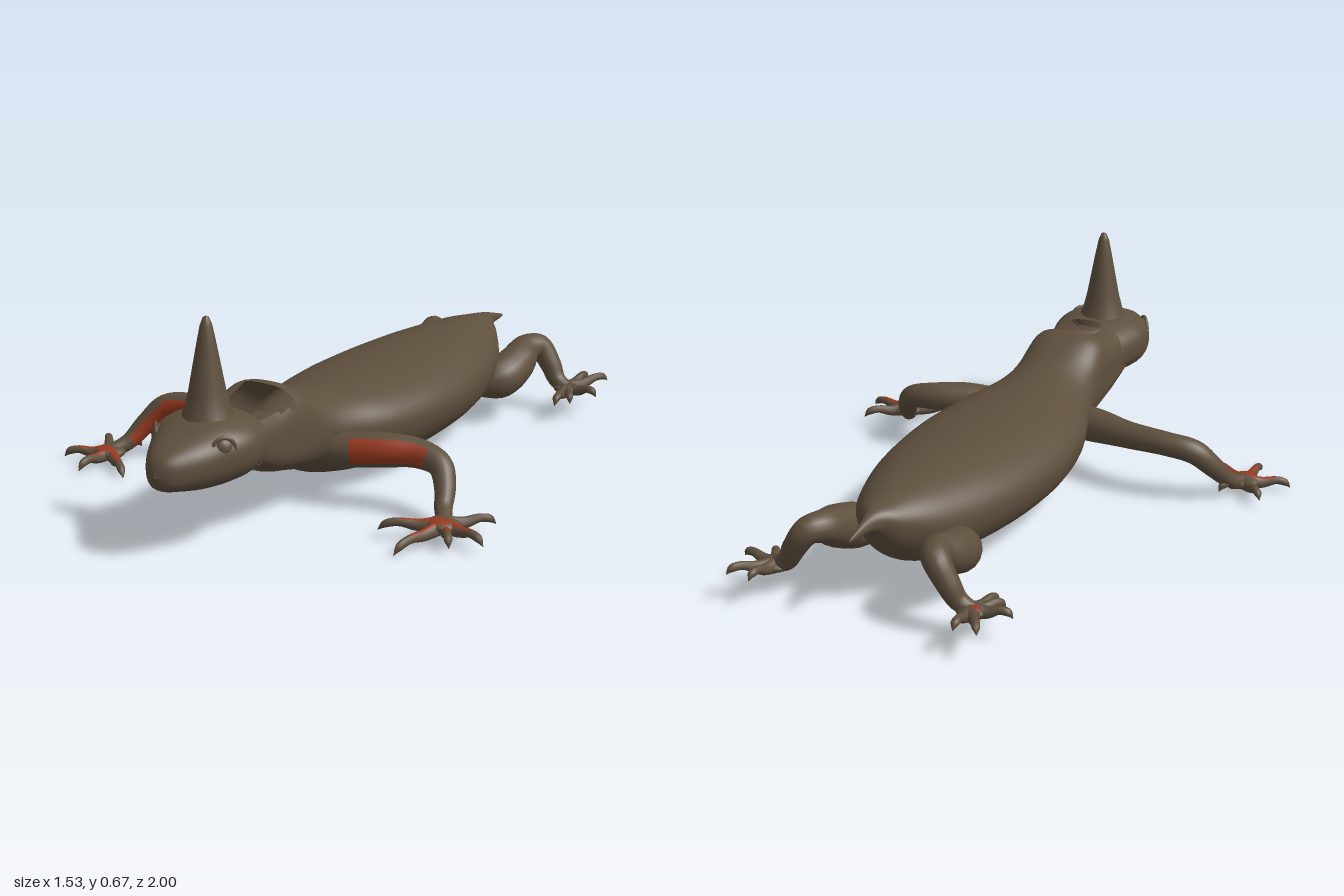
import * as THREE from 'three';

export function createModel() {
  const group = new THREE.Group();
  const skin = new THREE.MeshStandardMaterial({ color: 0x5e4f3d, side: THREE.DoubleSide });
  skin.name = 'brown skin';
  const red = new THREE.MeshStandardMaterial({ color: 0x97391f, side: THREE.DoubleSide });
  red.name = 'red patches';

  const add = (name, geo, mat, parent = group) => {
    const m = new THREE.Mesh(geo, mat);
    m.name = name;
    parent.add(m);
    return m;
  };

  // Closed-ring skin; pick(i, j) returns 0 skin, 1 red, -1 for an opening
  function surface(rings, pick = () => 0) {
    const n = rings[0].length, faces = [[], []];
    for (let i = 0; i < rings.length - 1; i++) {
      for (let j = 0; j < n; j++) {
        const k = pick(i, j);
        if (k < 0) continue;
        const a = i * n + j, b = i * n + (j + 1) % n, c = b + n, d = a + n;
        faces[k].push(a, b, c, a, c, d);
      }
    }
    const g = new THREE.BufferGeometry();
    g.setAttribute('position', new THREE.Float32BufferAttribute(rings.flat().flatMap(p => p.toArray()), 3));
    g.setIndex([...faces[0], ...faces[1]]);
    g.addGroup(0, faces[0].length, 0);
    g.addGroup(faces[0].length, faces[1].length, 1);
    g.computeVertexNormals();
    return g;
  }

  // Loft along z from sections [z, half width, top y, bottom y, widest y];
  // power(z) below 1 makes a section squarer
  function loftRings(sections, cx, steps, sides, power) {
    const curve = f => new THREE.CatmullRomCurve3(sections.map(f), false, 'catmullrom', 0.5);
    const ca = curve(s => new THREE.Vector3(s[0], s[1], s[4]));
    const cb = curve(s => new THREE.Vector3(s[0], s[2], s[3]));
    const bend = (v, p) => Math.sign(v) * Math.pow(Math.abs(v), p);
    const rings = [];
    for (let i = 0; i <= steps; i++) {
      const a = ca.getPoint(i / steps), b = cb.getPoint(i / steps), p = power(a.x), ring = [];
      for (let j = 0; j < sides; j++) {
        const t = j / sides * Math.PI * 2, c = bend(Math.cos(t), p), s = bend(Math.sin(t), p);
        ring.push(new THREE.Vector3(cx + c * a.y, a.z + s * (s > 0 ? b.y - a.z : a.z - b.z), a.x));
      }
      rings.push(ring);
    }
    return rings;
  }

  // Tapered tube through [x, y, z, radius]; isRed(direction, t) paints a patch
  function limb(pts, steps = 28, sides = 14, isRed = () => false) {
    const curve = new THREE.CatmullRomCurve3(pts.map(p => new THREE.Vector3(p[0], p[1], p[2])));
    const radii = new THREE.CatmullRomCurve3(pts.map((p, i) => new THREE.Vector3(i, p[3], 0)), false, 'catmullrom', 0.4);
    const rings = [], dirs = [];
    let normal = null;
    for (let i = 0; i <= steps; i++) {
      const t = i / steps, c = curve.getPoint(t), r = Math.max(radii.getPoint(t).y, 0.001), T = curve.getTangent(t);
      if (!normal) normal = Math.abs(T.y) > 0.9 ? new THREE.Vector3(1, 0, 0) : new THREE.Vector3(0, 1, 0);
      normal = normal.clone().addScaledVector(T, -normal.dot(T)).normalize();
      const B = new THREE.Vector3().crossVectors(T, normal), ring = [], dr = [];
      for (let j = 0; j < sides; j++) {
        const a = j / sides * Math.PI * 2;
        const d = normal.clone().multiplyScalar(Math.cos(a)).addScaledVector(B, Math.sin(a));
        dr.push(d);
        ring.push(c.clone().addScaledVector(d, r));
      }
      rings.push(ring);
      dirs.push(dr);
    }
    return surface(rings, (i, j) => isRed(dirs[i][j].clone().add(dirs[i][(j + 1) % sides]).normalize(), i / steps) ? 1 : 0);
  }

  // Body with the tail point, shoulders and a neck open on top
  const bodyRings = loftRings([
    [-0.96, 0.003, 0.285, 0.275, 0.28], [-0.85, 0.026, 0.315, 0.255, 0.285], [-0.78, 0.082, 0.325, 0.165, 0.26],
    [-0.65, 0.16, 0.338, 0.08, 0.22], [-0.42, 0.23, 0.34, 0.045, 0.21], [-0.15, 0.258, 0.333, 0.03, 0.21],
    [0.08, 0.235, 0.33, 0.034, 0.21], [0.25, 0.18, 0.335, 0.062, 0.22], [0.36, 0.15, 0.365, 0.105, 0.24],
    [0.47, 0.14, 0.408, 0.14, 0.26], [0.57, 0.138, 0.382, 0.165, 0.27], [0.67, 0.138, 0.378, 0.21, 0.28],
  ], 0.04, 72, 48, z => 1 - 0.35 * THREE.MathUtils.smoothstep(z, 0.3, 0.5));
  add('body', surface(bodyRings, (i, j) => {
    const p = bodyRings[i][j], q = bodyRings[i][(j + 1) % 48];
    const top = p.z > 0.48 && Math.min(p.y, q.y) > 0.352 && p.x > -0.01;
    const floor = p.z > 0.595 && p.y < 0.25 && p.x > 0.03 && p.x < 0.11;
    return top || floor ? -1 : 0;
  }), [skin, red]);

  // Head, open at the back
  const headRings = loftRings([
    [0.6, 0.132, 0.376, 0.205, 0.29], [0.67, 0.15, 0.385, 0.2, 0.3], [0.74, 0.163, 0.39, 0.196, 0.3],
    [0.81, 0.15, 0.385, 0.193, 0.3], [0.87, 0.118, 0.362, 0.196, 0.285], [0.93, 0.083, 0.34, 0.207, 0.275],
    [0.98, 0.043, 0.312, 0.222, 0.268], [1.0, 0.002, 0.268, 0.262, 0.265],
  ], 0.037, 40, 40, () => 0.84);
  add('head', surface(headRings, (i, j) => {
    const p = headRings[i][j];
    const back = p.z < 0.66 && p.x > -0.01;
    const throat = p.z < 0.66 && p.y < 0.26;
    return back || throat ? -1 : 0;
  }), [skin, red]);

  // Horn on the crown
  const horn = add('horn', new THREE.LatheGeometry([
    [0.085, -0.02], [0.068, 0.02], [0.055, 0.07], [0.042, 0.14], [0.029, 0.21], [0.018, 0.265], [0.009, 0.288], [0, 0.293],
  ].map(p => new THREE.Vector2(...p)), 24), skin);
  horn.position.set(0.037, 0.38, 0.75);

  // Eyes with low lids
  for (const s of [-1, 1]) {
    const eye = new THREE.Group();
    eye.name = s > 0 ? 'leftEye' : 'rightEye';
    eye.position.set(0.037 + s * 0.112, 0.326, 0.83);
    eye.rotation.y = s * 0.85;
    add('eyeball', new THREE.SphereGeometry(0.03, 18, 12), skin, eye).scale.z = 0.8;
    add('eyelid', new THREE.TorusGeometry(0.032, 0.006, 8, 22), skin, eye).position.z = 0.01;
    group.add(eye);
  }

  // Foot: flat palm and thin curled toes; isRed paints the toes
  function foot(name, palm, r, tips, isRed) {
    const g = new THREE.Group();
    g.name = name;
    const pad = add('palm', new THREE.SphereGeometry(r, 18, 12), skin, g);
    pad.position.set(...palm);
    pad.scale.y = 0.42;
    tips.forEach(([x, y, z], k) => {
      const at = (f, h, rad) => [palm[0] + (x - palm[0]) * f, palm[1] + (y - palm[1]) * f + h, palm[2] + (z - palm[2]) * f, rad];
      add('toe', limb([at(0.1, 0, 0.024), at(0.4, 0.004, 0.018), at(0.68, 0.018, 0.013), at(0.88, 0.016, 0.012), at(1, 0, 0.001)],
        16, 10, (d, t) => isRed(d, t, k)), [skin, red], g);
    });
    group.add(g);
  }

  // Red cap lying on a palm
  function palmPatch(name, position, r, height = 0.42, depth = 1) {
    const patch = add(name, new THREE.SphereGeometry(r, 16, 6, 0, Math.PI * 2, 0, 0.85), red);
    patch.position.set(...position);
    patch.scale.set(1, height, depth);
  }

  // Right front leg: a thin stripe, turning to the inside of the forearm
  const inward = new THREE.Vector3(0.75, -0.3, 0.58);
  add('frontRightLeg', limb([
    [0.0, 0.18, 0.29, 0.058], [-0.13, 0.178, 0.292, 0.057], [-0.28, 0.185, 0.25, 0.044], [-0.42, 0.188, 0.232, 0.039],
    [-0.51, 0.172, 0.245, 0.039], [-0.565, 0.115, 0.28, 0.033], [-0.6, 0.06, 0.33, 0.026], [-0.63, 0.038, 0.38, 0.022],
  ], 44, 20, (d, t) => t > 0.2 && t < 0.84 && (t < 0.55 ? d.z > 0.8 : d.dot(inward) > 0.5)), [skin, red]);
  foot('frontRightFoot', [-0.63, 0.038, 0.385], 0.05,
    [[-0.72, 0.03, 0.285], [-0.765, 0.015, 0.45], [-0.635, 0.015, 0.535], [-0.49, 0.008, 0.495], [-0.585, 0.035, 0.28]],
    (d, t, k) => k > 0 && k < 4 && d.y > 0.7 && t < 0.5);
  palmPatch('frontRightPalmPatch', [-0.63, 0.039, 0.397], 0.047);

  // Left front leg: a broad patch on the upper arm
  add('frontLeftLeg', limb([
    [0.08, 0.18, 0.31, 0.055], [0.18, 0.178, 0.31, 0.053], [0.32, 0.192, 0.275, 0.053], [0.43, 0.192, 0.242, 0.045],
    [0.51, 0.172, 0.25, 0.038], [0.548, 0.12, 0.285, 0.032], [0.57, 0.075, 0.33, 0.027], [0.61, 0.055, 0.39, 0.022],
  ], 44, 20, (d, t) => t > 0.2 && t < 0.49 && d.z > 0.6 && d.y > -0.45), [skin, red]);
  foot('frontLeftFoot', [0.61, 0.056, 0.395], 0.052,
    [[0.72, 0.045, 0.285], [0.76, 0.03, 0.43], [0.68, 0.025, 0.485], [0.56, 0.012, 0.588], [0.445, 0.035, 0.49]],
    (d, t, k) => k > 0 && t < 0.5 && (d.y > 0.7 || d.y < -0.7));
  palmPatch('frontLeftPalmPatch', [0.61, 0.057, 0.407], 0.049);
  palmPatch('frontLeftSolePatch', [0.61, 0.055, 0.407], 0.049, -0.42);

  // Hind legs, mirrored across the body
  for (const s of [-1, 1]) {
    const side = s > 0 ? 'Left' : 'Right';
    const mx = ([x, ...rest]) => [0.033 + s * x, ...rest];
    add('hind' + side + 'Leg', limb([
      [0.1, 0.13, -0.58, 0.03], [0.17, 0.155, -0.65, 0.068], [0.188, 0.19, -0.74, 0.064], [0.185, 0.22, -0.81, 0.05],
      [0.21, 0.222, -0.86, 0.042], [0.25, 0.165, -0.87, 0.036], [0.28, 0.115, -0.865, 0.03], [0.32, 0.092, -0.86, 0.024],
    ].map(mx), 40, 18), [skin, red]);
    foot('hind' + side + 'Foot', mx([0.32, 0.092, -0.862]), 0.045,
      [[0.33, 0.095, -0.995], [0.405, 0.1, -0.997], [0.44, 0.085, -0.843], [0.38, 0.07, -0.77], [0.34, 0.065, -0.735]].map(mx), () => false);
  }
  palmPatch('hindRightFootPatch', [-0.305, 0.102, -0.88], 0.03, 0.5, 0.6);

  return group;
}
